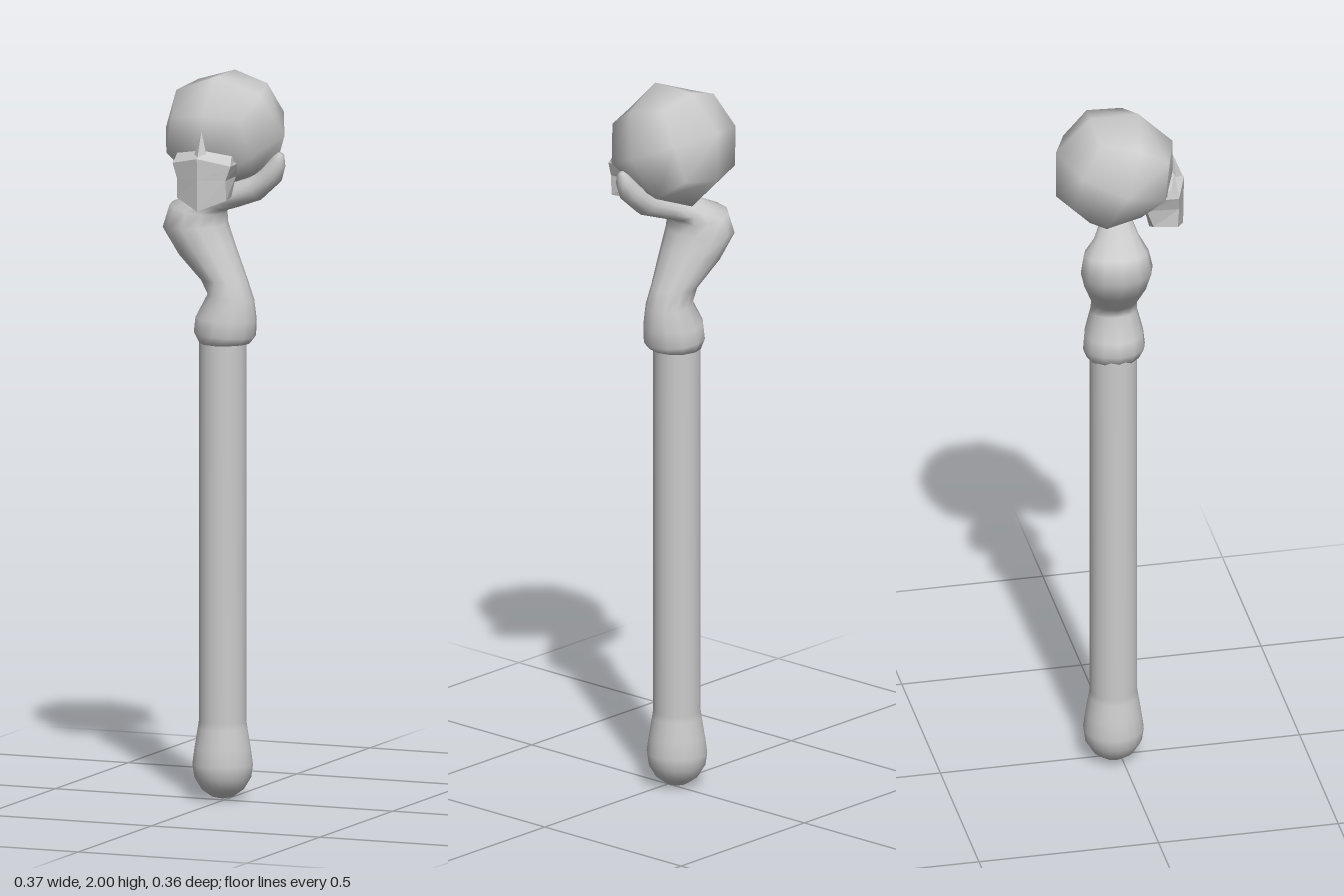
import * as THREE from 'three';
import { mergeVertices } from 'three/addons/utils/BufferGeometryUtils.js';

const material = new THREE.MeshStandardMaterial({ color: 0xcccccc });

function addMesh(group, name, geometry, mat = material) {
  const mesh = new THREE.Mesh(geometry, mat);
  mesh.name = name;
  group.add(mesh);
  return mesh;
}

// Skin over rings of [x, y, z] points (each running +x, +z, -x, -z), capped at both ends
function loft(rings) {
  const n = rings[0].length, last = (rings.length - 1) * n;
  const pos = rings.flat(2), index = [];
  const centre = ring => [0, 1, 2].map(k => ring.reduce((s, p) => s + p[k], 0) / n);
  pos.push(...centre(rings[0]), ...centre(rings[rings.length - 1]));
  const bottom = rings.length * n;
  for (let j = 0; j < n; j++) {
    const k = (j + 1) % n;
    for (let i = 0; i < last; i += n) {
      index.push(i + j, i + n + j, i + k, i + k, i + n + j, i + n + k);
    }
    index.push(bottom, j, k, bottom + 1, last + k, last + j);
  }
  const g = new THREE.BufferGeometry();
  g.setAttribute('position', new THREE.Float32BufferAttribute(pos, 3));
  g.setIndex(index);
  g.computeVertexNormals();
  return g;
}

export function createModel() {
  const group = new THREE.Group();

  // Shaft and rounded pommel
  const profile = [
    [0, 0], [0.03, 0.007], [0.058, 0.027], [0.078, 0.06], [0.083, 0.095],
    [0.077, 0.14], [0.068, 0.195], [0.065, 0.215], [0.065, 1.28],
  ].map(([r, y]) => new THREE.Vector2(r, y));
  addMesh(group, 'shaftAndPommel', new THREE.LatheGeometry(profile, 20)).position.set(-0.013, 0, -0.021);

  // Bent arm ending in a thumb: left edge x, y, right edge x, y, centre z, half depth
  const sections = [
    [-0.075, 1.257, 0.065, 1.257, -0.02, 0.074],
    [-0.09, 1.29, 0.08, 1.275, -0.018, 0.086],
    [-0.086, 1.33, 0.083, 1.32, -0.018, 0.082],
    [-0.05, 1.395, 0.077, 1.375, -0.016, 0.066],
    [-0.07, 1.43, 0.058, 1.43, -0.017, 0.064],
    [-0.135, 1.495, 0.012, 1.53, -0.025, 0.088],
    [-0.185, 1.57, -0.01, 1.58, -0.03, 0.1],
    [-0.165, 1.635, -0.012, 1.61, -0.03, 0.09],
    [-0.085, 1.672, 0, 1.622, -0.02, 0.062],
    [-0.01, 1.69, 0.04, 1.635, -0.008, 0.045],
    [0.075, 1.72, 0.11, 1.66, 0, 0.036],
    [0.115, 1.745, 0.172, 1.715, 0.008, 0.031],
    [0.152, 1.785, 0.185, 1.755, 0.013, 0.022],
    [0.168, 1.797, 0.184, 1.787, 0.014, 0.01],
  ];
  const sides = 12;
  const rings = sections.map(([xl, yl, xr, yr, z, depth]) =>
    Array.from({ length: sides }, (_, j) => {
      const a = (j / sides) * Math.PI * 2, t = (1 + Math.cos(a)) / 2;
      return [xl + (xr - xl) * t, yl + (yr - yl) * t, z + depth * Math.sin(a)];
    }));
  addMesh(group, 'armAndThumb', loft(rings));

  // Cranium: a coarse cube swollen to a ball and tipped about x
  let ball = new THREE.BoxGeometry(1, 1, 1, 2, 2, 2);
  ball.deleteAttribute('normal');
  ball.deleteAttribute('uv');
  ball = mergeVertices(ball);
  const p = ball.attributes.position, v = new THREE.Vector3();
  for (let i = 0; i < p.count; i++) {
    v.fromBufferAttribute(p, i).setLength(0.176).applyAxisAngle(new THREE.Vector3(1, 0, 0), Math.PI / 8);
    if (v.y < -0.1 && v.z > 0) v.y += 0.03;
    p.setXYZ(i, v.x, v.y, v.z);
  }
  ball.computeVertexNormals();
  addMesh(group, 'cranium', ball).position.set(-0.004, 1.837, -0.017);

  // Face and jaw: side x, side y, side z, front y, front z, back x, back z
  const faceted = material.clone();
  faceted.flatShading = true;
  const jaw = [
    [0.073, 1.675, 0.145, 1.645, 0.175, 0.06, 0.08],
    [0.072, 1.73, 0.148, 1.73, 0.176, 0.065, 0.06],
    [0.086, 1.77, 0.145, 1.79, 0.178, 0.08, 0.04],
    [0.08, 1.795, 0.125, 1.81, 0.15, 0.07, 0.03],
  ].map(([x, y, z, fy, fz, bx, bz]) => [
    [x, y, z], [0, fy, fz], [-x, y, z], [-bx, y, bz], [0, fy, bz], [bx, y, bz],
  ]);
  addMesh(group, 'jaw', loft(jaw), faceted).position.x = -0.004;

  // Small nose wedge
  const nose = addMesh(group, 'nose', new THREE.ConeGeometry(0.022, 0.078, 4), faceted);
  nose.position.set(-0.004, 1.823, 0.15);
  nose.rotation.x = -0.1;

  return group;
}
